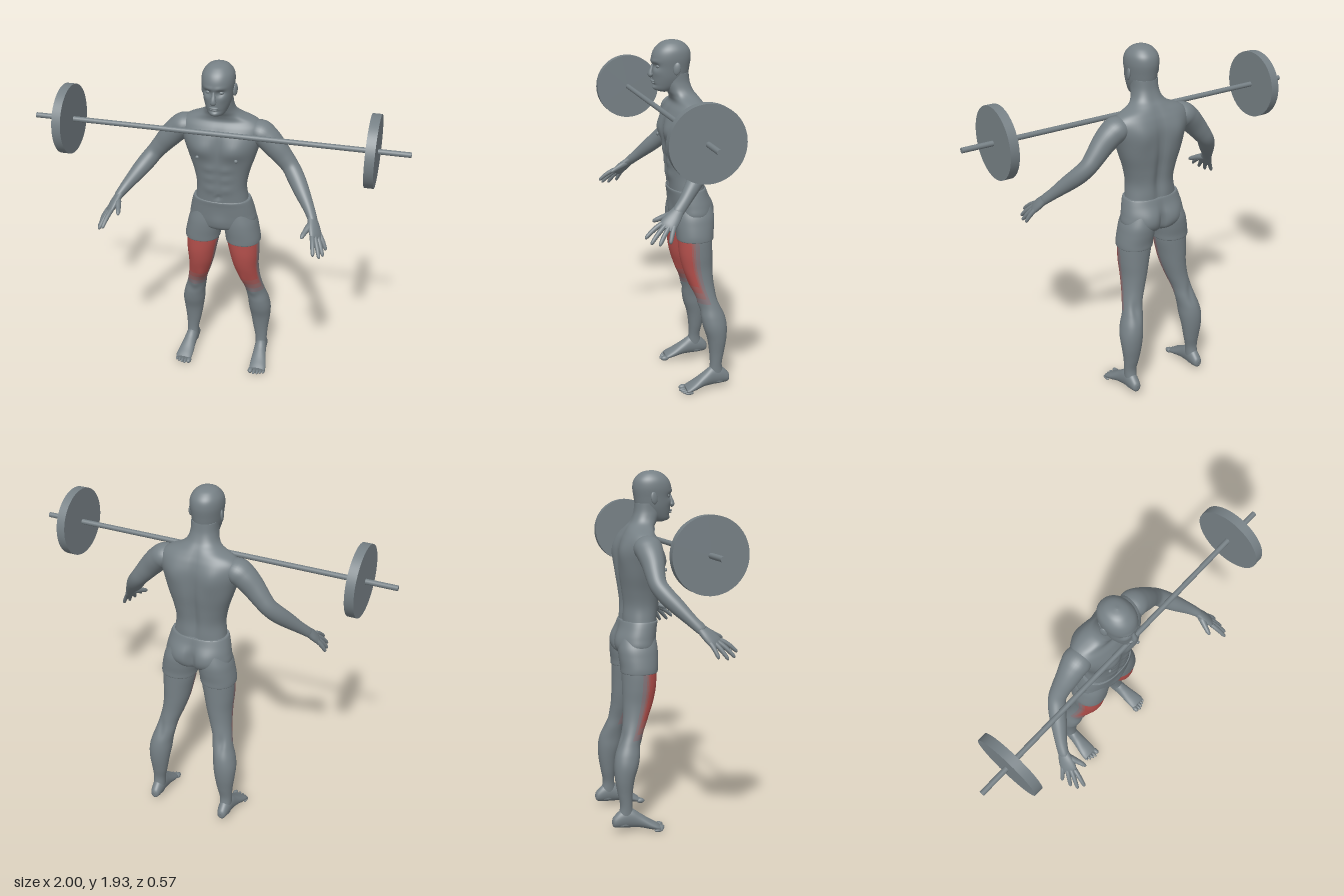
import * as THREE from 'three';

const mat = (name, color) => Object.assign(new THREE.MeshStandardMaterial({ color }), { name });

// Smooth interpolation through rows of numbers
function sample(rows, t) {
  const n = rows.length - 1, i = Math.min(Math.floor(t * n), n - 1), f = t * n - i;
  const [a, b, c, d] = [i - 1, i, i + 1, i + 2].map(k => rows[Math.max(0, Math.min(n, k))]);
  return b.map((_, k) => b[k] + 0.5 * f * (c[k] - a[k] + f * (2 * a[k] - 5 * b[k] + 4 * c[k] - d[k]
    + f * (3 * (b[k] - c[k]) + d[k] - a[k]))));
}

// Closed skin through cross-sections; place(row, cos, sin, t) gives a point,
// pick(point, sin) gives a material index
function loft(rows, place, seg = 40, sub = 6, pick = () => 0) {
  const steps = (rows.length - 1) * sub, pts = [], faces = [];
  for (let i = 0; i <= steps; i++) {
    const row = sample(rows, i / steps);
    for (let j = 0; j < seg; j++) {
      const a = j / seg * Math.PI * 2;
      pts.push(place(row, Math.cos(a), Math.sin(a), i / steps));
    }
  }
  for (let i = 0; i < steps; i++) for (let j = 0; j < seg; j++) {
    const k = (j + 1) % seg, a = i * seg + j, b = i * seg + k, c = a + seg, d = b + seg;
    const m = pick(pts[a].clone().add(pts[d]).multiplyScalar(0.5), Math.sin((j + 0.5) / seg * Math.PI * 2));
    faces.push([m, a, c, b], [m, b, c, d]);
  }
  // end caps on their own vertices
  for (const [start, flip] of [[0, false], [steps * seg, true]]) {
    const base = pts.length, mid = new THREE.Vector3();
    for (let j = 0; j < seg; j++) { pts.push(pts[start + j].clone()); mid.addScaledVector(pts[start + j], 1 / seg); }
    pts.push(mid);
    for (let j = 0; j < seg; j++) {
      const a = base + j, b = base + (j + 1) % seg;
      faces.push(flip ? [0, b, a, base + seg] : [0, a, b, base + seg]);
    }
  }
  // face outwards
  let volume = 0;
  const cross = new THREE.Vector3();
  for (const [, a, b, c] of faces) volume += cross.crossVectors(pts[b], pts[c]).dot(pts[a]);
  if (volume < 0) for (const f of faces) [f[2], f[3]] = [f[3], f[2]];
  faces.sort((p, q) => p[0] - q[0]);
  const g = new THREE.BufferGeometry().setFromPoints(pts);
  g.setIndex(faces.flatMap(f => f.slice(1)));
  for (let m = 0, at = 0; at < faces.length; m++) {
    const count = faces.filter(f => f[0] === m).length;
    if (count) g.addGroup(at * 3, count * 3, m);
    at += count;
  }
  g.computeVertexNormals();
  return g;
}

// Level cross-sections [y, inner x, outer x, front z, back z], with muscle bumps
// [x, y, width, height, amount, side] where side 1 is front and -1 is back
const level = (s, bumps = [], p = 1) => ([y, xi, xo, zf, zb], c, sn) => {
  const soft = v => Math.sign(v) * Math.abs(v) ** p;
  const x = (xi + xo) / 2 + (xo - xi) / 2 * soft(c);
  let z = (zf + zb) / 2 + (zf - zb) / 2 * soft(sn);
  for (const [bx, by, w, h, amt, side] of bumps) if (sn * side > 0) {
    const ax = xi === -xo ? Math.abs(x) : x;
    z += sn * amt * Math.exp(-(((ax - bx) / w) ** 2) - ((y - by) / h) ** 2);
  }
  return new THREE.Vector3(s * x, y, z);
};
const centred = rows => rows.map(([y, w, zf, zb]) => [y, -w, w, zf, zb]);

// Limb along rows [x, y, z, thickness, width]; width lies along ref
function limb(rows, s, ref = [0, 0, 1], seg = 28, sub = 6) {
  return loft(rows, ([x, y, z, a, b], c, sn, t) => {
    const p = sample(rows, Math.max(0, t - 0.02)), q = sample(rows, Math.min(1, t + 0.02));
    const dir = new THREE.Vector3(q[0] - p[0], q[1] - p[1], q[2] - p[2]).normalize();
    const r = new THREE.Vector3(...ref);
    const u = r.addScaledVector(dir, -r.dot(dir)).normalize();
    const v = new THREE.Vector3().crossVectors(dir, u);
    const o = new THREE.Vector3(x, y, z).addScaledVector(v, a * c).addScaledVector(u, b * sn);
    o.x *= s;
    return o;
  }, seg, sub);
}

export function createModel() {
  const group = new THREE.Group();
  const grey = mat('slateGrey', 0x768085), red = mat('muscleRed', 0xb5504c);
  const blends = [mat('paleBlend', 0x84757a), mat('midBlend', 0x966a6a), mat('strongBlend', 0xa65d5b)];
  const add = (name, geo, m = grey) => {
    const mesh = new THREE.Mesh(geo, m);
    mesh.name = name;
    group.add(mesh);
    return mesh;
  };
  const ball = (name, pos, scale) => {
    const m = add(name, new THREE.SphereGeometry(1, 20, 14));
    m.position.set(...pos);
    m.scale.set(...scale);
    return m;
  };

  // Torso and neck
  add('torso', loft(centred([
    [1.09, .152, .008, -.18], [1.15, .143, .013, -.176], [1.22, .137, .02, -.172], [1.3, .152, .027, -.184],
    [1.38, .178, .036, -.196], [1.45, .2, .042, -.198], [1.52, .222, .036, -.194], [1.57, .22, .016, -.18],
    [1.605, .185, -.005, -.162], [1.635, .115, .002, -.143], [1.665, .083, .02, -.12], [1.71, .071, .04, -.102],
    [1.76, .07, .045, -.095]]),
  level(1, [[.095, 1.455, .07, .055, .022, 1], [0, 1.46, .018, .08, -.012, 1], [0, 1.27, .012, .1, -.006, 1],
    [.045, 1.34, .035, .022, .007, 1], [.045, 1.28, .035, .022, .006, 1], [.045, 1.215, .035, .025, .006, 1],
    [0, 1.165, .012, .012, -.012, 1], [0, 1.33, .025, .22, -.02, -1], [.11, 1.5, .055, .08, .016, -1],
    [.06, 1.2, .04, .08, .006, -1]], .87), 72));

  // Shorts
  add('shortsHips', loft(centred([
    [.945, .09, -.03, -.17], [.965, .15, -.008, -.2], [1, .186, .0, -.212], [1.05, .181, .006, -.21],
    [1.1, .17, .012, -.195], [1.13, .161, .017, -.187], [1.137, .157, .015, -.184]]),
  level(1, [[.085, 1.02, .065, .07, .018, -1], [0, 1.01, .018, .07, -.025, -1], [0, 1.0, .045, .05, .01, 1]], .88), 72));

  // Head
  add('head', loft(centred([
    [1.662, .03, .06, .01], [1.674, .043, .086, -.025], [1.7, .058, .094, -.07], [1.74, .071, .098, -.09],
    [1.79, .079, .1, -.1], [1.84, .085, .103, -.107], [1.88, .08, .09, -.1], [1.91, .06, .062, -.075],
    [1.925, .036, .034, -.047], [1.932, .004, .002, -.008]]),
  level(1, [[.035, 1.797, .02, .016, -.017, 1], [.03, 1.822, .03, .01, .006, 1], [.05, 1.765, .02, .02, .005, 1],
    [0, 1.68, .022, .014, .007, 1], [0, 1.698, .025, .007, -.006, 1]], .95), 64, 8));
  add('nose', limb([[0, 1.805, .098, .006, .006], [0, 1.785, .103, .01, .009], [0, 1.763, .108, .014, .014],
    [0, 1.75, .107, .016, .015], [0, 1.743, .1, .008, .008]], 1));
  ball('upperLip', [0, 1.72, .098], [.024, .006, .01]);
  ball('lowerLip', [0, 1.71, .096], [.02, .006, .01]);

  // Parts that come in pairs
  for (const s of [1, -1]) {
    const side = s > 0 ? 'left' : 'right';
    ball(side + 'Eye', [s * .034, 1.797, .075], [.014, .01, .012]);
    const ear = ball(side + 'Ear', [s * .085, 1.788, -.012], [.009, .033, .02]);
    ear.rotation.set(-.15, s * -.3, 0);
    ball(side + 'Nipple', [s * .105, 1.41, .045], [.01, .01, .008]);

    // Shorts leg
    add(side + 'ShortsLeg', loft([
      [1.06, .02, .16, -.01, -.2], [1, .006, .189, -.002, -.214], [.95, .009, .202, -.001, -.213],
      [.9, .016, .212, -.004, -.207], [.872, .019, .214, -.006, -.206], [.866, .021, .212, -.008, -.204]],
    level(s, [], .92), 48));

    // Leg, with the front thigh muscle shaded to red
    add(side + 'Leg', loft([
      [.93, .025, .2, -.01, -.2], [.86, .026, .207, -.012, -.2], [.78, .042, .207, -.018, -.2],
      [.7, .06, .203, -.036, -.2], [.62, .085, .208, -.067, -.203], [.55, .11, .22, -.097, -.215],
      [.49, .122, .235, -.121, -.235], [.43, .133, .254, -.124, -.257], [.37, .138, .265, -.135, -.266],
      [.3, .149, .262, -.157, -.263], [.22, .163, .252, -.169, -.25], [.15, .178, .247, -.172, -.238],
      [.09, .181, .246, -.165, -.25], [.045, .186, .243, -.17, -.26]],
    level(s, [[.175, .5, .025, .03, .009, 1], [.12, .6, .025, .05, .008, 1], [.185, .52, .02, .05, -.008, -1]], .95),
    56, 8, (p, sn) => {
      const k = Math.min((sn - .05) / .4, (p.y - .51) / .1);
      return k > 1 ? 4 : k > 0 ? 1 + Math.min(2, Math.floor(k * 3)) : 0;
    }), [grey, ...blends, red]);

    // Foot: sections [z, centre x, half width, top, bottom]
    add(side + 'Foot', loft([
      [-.283, .214, .008, .075, .05], [-.272, .214, .024, .095, .034], [-.23, .214, .033, .13, .028],
      [-.18, .216, .035, .135, .026], [-.13, .22, .039, .102, .023], [-.08, .225, .046, .068, .012],
      [-.045, .228, .048, .047, .006], [-.025, .228, .044, .034, .006]],
    ([z, x, w, top, bot], c, sn) => new THREE.Vector3(s * (x + w * c), (top + bot) / 2 + (top - bot) / 2 * sn, z), 32));
    [[.191, .015, -.018], [.213, .01, -.014], [.232, .0095, -.019], [.25, .009, -.027], [.267, .009, -.037]]
      .forEach(([x, r, z], i) => ball(side + 'Toe' + (i + 1), [s * x, r + .002, z], [r, r, .024]));

    // Arm
    add(side + 'Arm', limb([
      [.14, 1.53, -.08, .045, .055], [.2, 1.537, -.08, .066, .075], [.242, 1.512, -.078, .066, .07],
      [.29, 1.463, -.075, .061, .06], [.335, 1.41, -.076, .053, .051], [.375, 1.362, -.07, .047, .046],
      [.412, 1.315, -.04, .047, .045], [.452, 1.265, .005, .042, .041], [.5, 1.205, .06, .031, .032],
      [.53, 1.165, .1, .024, .03], [.538, 1.153, .11, .02, .028]], s, [0, 0, 1], 36));

    // Hand
    const spread = [-.44, .16, .88];
    add(side + 'Palm', limb([
      [.523, 1.175, .088, .022, .028], [.533, 1.158, .108, .021, .031], [.548, 1.13, .137, .021, .041],
      [.562, 1.102, .164, .018, .044], [.571, 1.085, .18, .011, .039]], s, spread));
    [['Index', .033, .57, 1.042, .284], ['Middle', .011, .6, 1.02, .262], ['Ring', -.011, .614, 1.013, .223],
      ['Little', -.032, .621, 1.022, .17]].forEach(([name, k, x, y, z]) => {
      const a = [.564 + spread[0] * k, 1.1 + spread[1] * k, .168 + spread[2] * k];
      const at = (f, r, lift = 0) => [a[0] + (x - a[0]) * f, a[1] + (y - a[1]) * f + lift, a[2] + (z - a[2]) * f, r, r];
      add(side + name + 'Finger', limb([at(0, .013), at(.3, .0125, .005), at(.6, .0115, .006), at(.88, .0095, .003),
        at(.97, .006), at(1, .001)], s, [1, 0, 0], 14, 4));
    });
    add(side + 'Thumb', limb([[.535, 1.15, .118, .018, .018], [.522, 1.137, .155, .018, .018],
      [.51, 1.125, .185, .014, .014], [.502, 1.114, .21, .012, .012], [.498, 1.107, .225, .007, .007],
      [.497, 1.105, .229, .001, .001]], s, [1, 0, 0], 14, 4));

    // Weight plate
    const plate = add(side + 'WeightPlate', new THREE.CylinderGeometry(.187, .187, .048, 64));
    plate.rotation.z = Math.PI / 2;
    plate.position.set(s * .811, 1.557, .05);
  }

  // Barbell bar
  const bar = add('bar', new THREE.CylinderGeometry(.014, .014, 2, 24));
  bar.rotation.z = Math.PI / 2;
  bar.position.set(0, 1.557, .05);
  return group;
}
